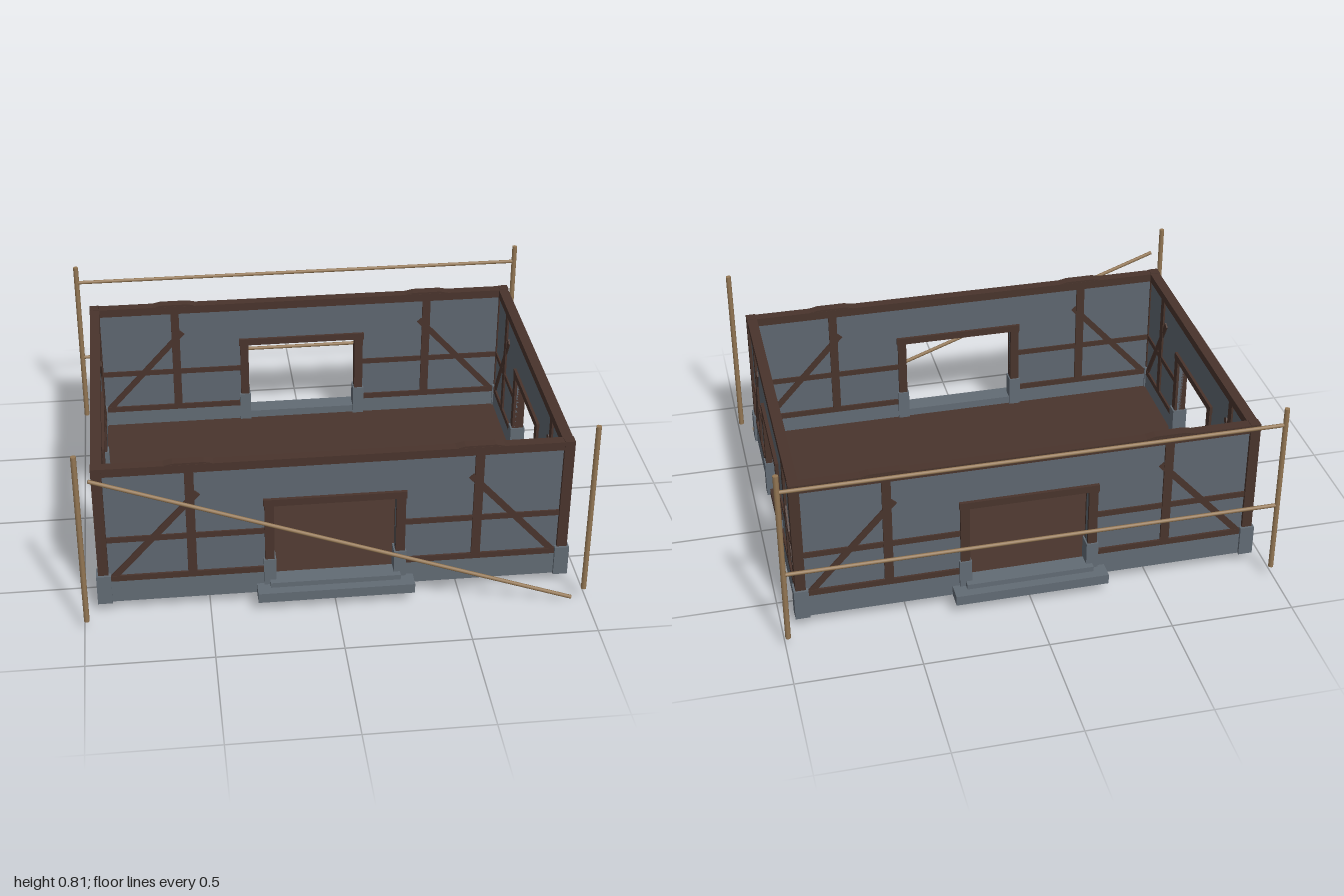
import * as THREE from 'three';

const mat = (name, color) => {
  const m = new THREE.MeshStandardMaterial({ color });
  m.name = name;
  return m;
};

export function createModel() {
  const stone = mat('stone', 0x626b74);
  const plaster = mat('plaster', 0x5e6670);
  const timber = mat('dark timber', 0x49342c);
  const boards = mat('floor boards', 0x49352d);
  const wood = mat('pole wood', 0x947754);

  const model = new THREE.Group();
  model.name = 'timberFrameHouse';

  function add(parent, name, geometry, material) {
    const mesh = new THREE.Mesh(geometry, material);
    mesh.name = name;
    parent.add(mesh);
    return mesh;
  }
  // Box given by its low and high limits on each axis
  function box(parent, name, material, [x0, x1], [y0, y1], [z0, z1]) {
    const mesh = add(parent, name, new THREE.BoxGeometry(x1 - x0, y1 - y0, z1 - z0), material);
    mesh.position.set((x0 + x1) / 2, (y0 + y1) / 2, (z0 + z1) / 2);
    return mesh;
  }
  const span = (s, a, b) => (s > 0 ? [a, b] : [-b, -a]);

  // Round pole between two points
  function pole(parent, name, a, b, r) {
    const p = new THREE.Vector3(...a), q = new THREE.Vector3(...b);
    const d = q.clone().sub(p);
    const mesh = add(parent, name, new THREE.CylinderGeometry(r, r, d.length(), 8), wood);
    mesh.position.copy(p).add(q).multiplyScalar(0.5);
    mesh.quaternion.setFromUnitVectors(new THREE.Vector3(0, 1, 0), d.normalize());
  }

  // One wall: x runs along it, local z = 0 is its outer timber face
  function wall(name, o) {
    const g = new THREE.Group();
    g.name = name;
    const beam = [-0.042, 0];

    // Infill panel with the door opening cut out
    const shape = new THREE.Shape();
    [[-o.half, 0.14], [-o.door, 0.14], [-o.door, 0.47], [o.door, 0.47],
      [o.door, 0.14], [o.half, 0.14], [o.half, 0.65], [-o.half, 0.65]]
      .forEach(([x, y], i) => (i ? shape.lineTo(x, y) : shape.moveTo(x, y)));
    shape.closePath();
    const panel = add(g, 'infillPanel', new THREE.ExtrudeGeometry(shape, { depth: 0.025, bevelEnabled: false }), plaster);
    panel.position.z = -0.034;

    box(g, 'topBeam', timber, [-o.half - 0.04, o.half + 0.04], [0.636, 0.672], beam);
    box(g, 'lintel', timber, [-o.door - 0.041, o.door + 0.041], [0.46, 0.49], [-0.046, 0.005]);

    for (const s of [-1, 1]) {
      box(g, 'plinth', stone, span(s, o.door, o.half + 0.02), [0.05, 0.147], beam);
      box(g, 'sillBeam', timber, span(s, o.door, o.half), [0.147, 0.172], beam);
      box(g, 'midRail', timber, span(s, o.door, o.half), [0.33, 0.354], [-0.04, -0.002]);
      box(g, 'doorPost', timber, span(s, o.door, o.door + 0.037), [0.05, 0.47], [-0.045, 0.004]);
      box(g, 'doorStone', stone, span(s, o.door - 0.006, o.door + 0.043), [0.05, 0.21], [-0.052, 0.01]);
      box(g, 'stud', timber, span(s, o.stud - 0.018, o.stud + 0.018), [0.16, 0.64], beam);

      // Slanted brace
      const [x0, y0] = o.brace[0], [x1, y1] = o.brace[1];
      const brace = add(g, 'brace', new THREE.BoxGeometry(Math.hypot(x1 - x0, y1 - y0), 0.026, 0.038), timber);
      brace.position.set(s * (x0 + x1) / 2, (y0 + y1) / 2, -0.021);
      brace.rotation.z = Math.atan2(y1 - y0, s * (x1 - x0));

      // Low tapered block on the top beam
      if (o.steps) {
        const cap = new THREE.Shape();
        cap.moveTo(-0.105, 0.67);
        cap.lineTo(0.105, 0.67);
        cap.lineTo(0.06, 0.68);
        cap.lineTo(-0.06, 0.68);
        const mesh = add(g, 'beamCap', new THREE.ExtrudeGeometry(cap, { depth: 0.04, bevelEnabled: false }), timber);
        mesh.position.set(s * 0.565, 0, -0.041);
      }
    }
    // Stone steps in front of the door
    if (o.steps) {
      box(g, 'lowerStep', stone, [-0.313, 0.313], [0.05, 0.092], [-0.03, 0.073]);
      box(g, 'upperStep', stone, [-0.26, 0.26], [0.05, 0.114], [-0.042, 0.035]);
    }
    g.position.set(o.x || 0, 0, o.z || 0);
    g.rotation.y = o.turn;
    model.add(g);
  }

  const long = { half: 0.895, door: 0.241, stud: 0.565, brace: [[0.875, 0.165], [0.535, 0.54]], steps: true };
  const short = { half: 0.628, door: 0.193, stud: 0.442, brace: [[0.605, 0.17], [0.39, 0.537]], steps: false };
  wall('frontWall', { ...long, z: 0.668, turn: 0 });
  wall('backWall', { ...long, z: -0.668, turn: Math.PI });
  wall('leftWall', { ...short, x: 0.935, turn: Math.PI / 2 });
  wall('rightWall', { ...short, x: -0.935, turn: -Math.PI / 2 });

  box(model, 'floor', boards, [-0.932, 0.932], [0.048, 0.08], [-0.665, 0.665]);

  // Corner posts on stone blocks, and free-standing scaffold poles
  for (const sx of [-1, 1]) {
    for (const sz of [-1, 1]) {
      box(model, 'cornerPost', timber, span(sx, 0.896, 0.937), [0.05, 0.674], span(sz, 0.629, 0.67));
      box(model, 'cornerStone', stone, span(sx, 0.887, 0.945), [0.05, 0.18], span(sz, 0.618, 0.68));
      pole(model, 'scaffoldPole', [sx * 0.989, 0.05, sz * 0.783], [sx * 0.989, 0.81, sz * 0.783], 0.011);
    }
  }
  for (const y of [0.735, 0.355]) pole(model, 'scaffoldRail', [-0.989, y, -0.783], [0.989, y, -0.783], 0.008);
  pole(model, 'fallenRail', [-0.943, 0.698, 0.783], [0.94, 0.009, 0.783], 0.008);

  return model;
}
